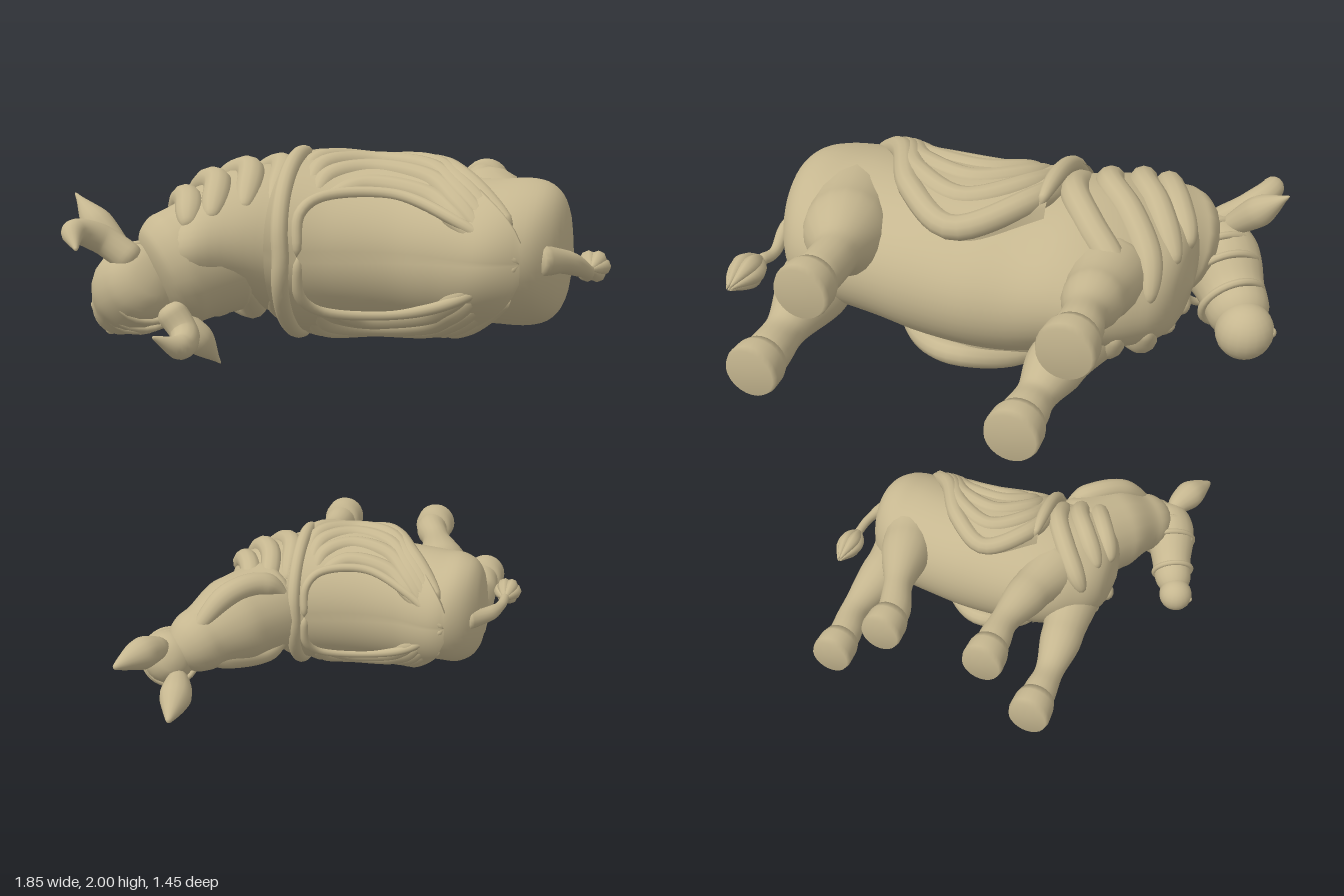
import * as THREE from 'three';
import { mergeVertices } from 'three/addons/utils/BufferGeometryUtils.js';
import { ParametricGeometry } from 'three/addons/geometries/ParametricGeometry.js';

const V = (a) => new THREE.Vector3(a[0], a[1], a[2]);
const wood = new THREE.MeshStandardMaterial({ color: 0xc6b790, side: THREE.DoubleSide });
wood.name = 'carved wood';

function smooth(geo) {
  geo.deleteAttribute('normal');
  geo.deleteAttribute('uv');
  const g = mergeVertices(geo, 1e-4);
  g.computeVertexNormals();
  return g;
}

function add(group, name, geo) {
  const mesh = new THREE.Mesh(geo, wood);
  mesh.name = name;
  group.add(mesh);
  return mesh;
}

// Round tapering sweep through points [x, y, z, radius], rounded at both ends
function limb(pts, cap = 0.1, sides = 14, n = 36) {
  const curve = new THREE.CatmullRomCurve3(pts.map(V), false, 'centripetal');
  const geo = new THREE.TubeGeometry(curve, n, 1, sides, false);
  const pos = geo.attributes.position, nor = geo.attributes.normal;
  for (let i = 0; i <= n; i++) {
    const u = i / n, p = curve.getPointAt(u);
    const t = curve.getUtoTmapping(u) * (pts.length - 1);
    const k = Math.min(Math.floor(t), pts.length - 2), f = t - k;
    const end = Math.min(1, Math.min(u, 1 - u) / cap);
    const r = THREE.MathUtils.lerp(pts[k][3], pts[k + 1][3], f * f * (3 - 2 * f)) * Math.sqrt(1 - (1 - end) ** 2);
    for (let j = 0; j <= sides; j++) {
      const q = i * (sides + 1) + j;
      pos.setXYZ(q, p.x + nor.getX(q) * r, p.y + nor.getY(q) * r, p.z + nor.getZ(q) * r);
    }
  }
  return smooth(geo);
}

// Smooth interpolation of one column of a station table
function column(table, c, x) {
  const n = table.length - 1;
  let i = 0;
  while (i < n - 1 && x > table[i + 1][0]) i++;
  const slope = (k) => {
    const a = table[Math.max(k - 1, 0)], b = table[Math.min(k + 1, n)];
    return (b[c] - a[c]) / (b[0] - a[0]);
  };
  const h = table[i + 1][0] - table[i][0];
  const t = THREE.MathUtils.clamp((x - table[i][0]) / h, 0, 1), s = 1 - t;
  return table[i][c] * s * s * (1 + 2 * t) + table[i + 1][c] * t * t * (3 - 2 * t)
    + h * (slope(i) * t * s * s - slope(i + 1) * t * t * s);
}

// Point on the body skin; angle 0 is the spine, +-PI/2 the flanks
function skinOf(table) {
  return (x, ang, off = 0) => {
    const top = column(table, 1, x), bot = column(table, 2, x);
    const w = column(table, 4, x) * (1 - column(table, 5, x) * Math.max(0, Math.cos(ang)));
    return [x, column(table, 3, x) + Math.sin(ang) * (w + off),
      (top + bot) / 2 + Math.cos(ang) * ((top - bot) / 2 + off)];
  };
}

// Distance of the cloth from the skin, flaring toward the hem
const drape = (ang) => 0.014 + 0.022 * Math.abs(ang);

function animal(name, o) {
  const g = new THREE.Group();
  g.name = name;
  const skin = skinOf(o.body), x0 = o.body[0][0], x1 = o.body[o.body.length - 1][0];
  const mapX = (x) => -0.2 + (x + 0.2) * o.stretch;
  const s = o.size;

  // Trunk
  add(g, 'body', smooth(new ParametricGeometry((u, v, t) => {
    const x = (x0 + x1) / 2 - (x1 - x0) / 2 * Math.cos(Math.PI * u);
    t.set(...skin(x, v * 2 * Math.PI));
  }, 60, 48)));

  // Blanket with an arched hem
  const hem = [[-0.2, -0.4], [0.05, -0.66], [0.27, -0.33], [0.44, 0.3], [0.66, 0.99]];
  add(g, 'blanket', smooth(new ParametricGeometry((u, v, t) => {
    const x = -0.2 + 0.85 * u;
    const ang = (2 * v - 1) * Math.acos(THREE.MathUtils.clamp(column(hem, 1, x), -1, 1));
    const edge = Math.min(1, (1 - Math.abs(2 * v - 1)) * 16);
    t.set(...skin(mapX(x), ang, drape(ang) * s * edge));
  }, 40, 64)));

  const ridge = (part, pts, r, cap = 0.15) =>
    add(g, part, limb(pts.map(([x, a, off]) => [...skin(mapX(x), a, off * s), r * s]), cap, 12, 44));
  const side = (f) => Math.acos(THREE.MathUtils.clamp(f, -1, 1));

  // Collar rim in front of the blanket
  const rim = [];
  for (let i = -8; i <= 8; i++) {
    const a = i / 8 * 1.95;
    rim.push([-0.15 - 0.04 * Math.abs(i) / 8, a, drape(a)]);
  }
  ridge('collarRim', rim, 0.03);

  for (const m of [1, -1]) {
    // Nested broad drapery arches on the flank
    for (let k = 0; k < 5; k++) {
      const arch = [[-0.16 + 0.03 * k, 0.75], [-0.15 + 0.035 * k, -0.25 + 0.24 * k], [0.06 + 0.01 * k, -0.6 + 0.295 * k],
        [0.26 + 0.015 * k, -0.31 + 0.245 * k], [0.43, 0.36 + 0.12 * k], [0.62 - 0.03 * k, 0.86 + 0.02 * k]];
      ridge('blanketFold', arch.map(([x, f]) => [x, m * side(f), drape(side(f)) - 0.022]), 0.042, 0.2);
    }
    // Saddle panel border meeting in a point at the rump
    ridge('saddleBorder', [[-0.1, 0], [-0.1, 0.5], [-0.04, 0.72], [0.2, 0.78], [0.45, 0.5], [0.65, 0]]
      .map(([x, a]) => [x, m * a, drape(a)]), 0.02, 0.06);
    // Diagonal folds over chest and shoulder
    for (const fold of o.folds) {
      ridge('neckFold', fold.map(([x, f]) => [x, m * side(f), -0.01]), 0.05, 0.25);
    }
  }

  // Legs with hooves
  const hoof = [[0, -0.725], [0.92, -0.725], [1, -0.705], [0.97, -0.65], [0.86, -0.62], [0, -0.6]];
  for (const leg of o.legs) {
    const [hx, hy, , hr] = leg[leg.length - 1];
    add(g, 'leg', limb([...leg, [hx, hy, -0.68, hr]], 0.08, 18));
    const geo = new THREE.LatheGeometry(hoof.map(([r, y]) => new THREE.Vector2(r * o.hoof, y)), 24);
    geo.rotateX(Math.PI / 2).translate(hx, hy, 0);
    add(g, 'hoof', geo);
  }

  // Neck, head and muzzle
  add(g, 'neck', limb(o.neck, 0.15, 20));
  add(g, 'head', limb(o.head, 0.18, 20));
  const crown = V(o.head[0]), nose = V(o.head[o.head.length - 1]);
  const axis = nose.clone().sub(crown).normalize();
  const across = new THREE.Vector3(-axis.y, axis.x, 0).normalize();
  const up = new THREE.Vector3().crossVectors(across, axis);
  if (up.z < 0) up.negate();
  const ball = (part, c, r) => add(g, part, new THREE.SphereGeometry(r, 20, 14)).position.copy(c);
  ball('muzzle', nose, o.muzzle);
  for (const m of [1, -1]) {
    ball('nostril', nose.clone().addScaledVector(across, m * o.muzzle * 0.5).addScaledVector(up, o.muzzle * 0.6)
      .addScaledVector(axis, o.muzzle * 0.4), o.muzzle * 0.2);
    ball('eye', crown.clone().lerp(nose, 0.45).addScaledVector(across, m * o.head[1][3] * 0.82)
      .addScaledVector(up, o.head[1][3] * 0.4), o.muzzle * 0.2);
  }

  // Halter bands
  for (const [t, r] of o.bands) {
    const band = add(g, 'halterBand', new THREE.TorusGeometry(r, 0.014 * s, 8, 32));
    band.position.lerpVectors(crown, nose, t);
    band.quaternion.setFromUnitVectors(new THREE.Vector3(0, 0, 1), axis);
  }

  for (const e of o.ears) add(g, 'ear', limb(e, 0.2));
  for (const h of o.horns) add(g, 'horn', limb(h, 0.12));
  for (const l of o.locks) add(g, 'maneLock', limb(l, 0.25));

  // Tail with a stranded tuft
  add(g, 'tail', limb(o.tail, 0.06));
  const [tx, ty, tz] = o.tail[o.tail.length - 1];
  for (let i = 0; i < 6; i++) {
    const a = i * Math.PI / 3, c = Math.cos(a) * 0.035 * s, d = Math.sin(a) * 0.03 * s;
    add(g, 'tailTuft', limb([[tx, ty, tz + 0.03, 0.015 * s], [tx + c, ty + d, tz - 0.07 * s, 0.032 * s],
      [tx + c * 0.2, ty + d * 0.2, tz - 0.2 * s, 0.006]], 0.2, 8, 16));
  }
  return g;
}

// Body stations: x, back z, belly z, centre y, half width, narrowing of the upper side
const ox = {
  size: 1, stretch: 1, hoof: 0.094, muzzle: 0.102,
  body: [[-0.66, 0.06, 0.06, 1.64, 0, 0], [-0.63, 0.26, -0.13, 1.64, 0.13, 0], [-0.55, 0.48, -0.25, 1.65, 0.2, 0.15],
    [-0.43, 0.55, -0.34, 1.67, 0.24, 0.2], [-0.3, 0.48, -0.37, 1.675, 0.26, 0.15], [-0.15, 0.385, -0.385, 1.65, 0.27, 0.02],
    [0, 0.325, -0.4, 1.645, 0.268, 0.02], [0.2, 0.295, -0.385, 1.645, 0.264, 0.02], [0.35, 0.33, -0.36, 1.645, 0.255, 0.03],
    [0.52, 0.4, -0.34, 1.645, 0.25, 0.08], [0.66, 0.35, -0.3, 1.645, 0.253, 0.08], [0.74, 0.25, -0.2, 1.645, 0.215, 0],
    [0.78, 0.13, -0.08, 1.645, 0.13, 0], [0.795, 0.02, 0.02, 1.645, 0, 0]],
  folds: [[[-0.5, -0.97], [-0.46, -0.75], [-0.35, -0.45], [-0.25, -0.05], [-0.2, 0.8]],
    [[-0.58, -0.96], [-0.54, -0.6], [-0.44, -0.22], [-0.34, 0.12], [-0.28, 0.82]],
    [[-0.62, -0.5], [-0.5, 0.02], [-0.42, 0.32], [-0.37, 0.87]], [[-0.63, 0.1], [-0.54, 0.35], [-0.48, 0.6], [-0.44, 0.9]]],
  legs: [
    [[-0.42, 1.73, -0.1, 0.14], [-0.445, 1.79, -0.36, 0.1], [-0.46, 1.82, -0.5, 0.067], [-0.475, 1.83, -0.6, 0.077]],
    [[-0.38, 1.56, -0.1, 0.14], [-0.33, 1.51, -0.36, 0.1], [-0.31, 1.47, -0.5, 0.067], [-0.31, 1.47, -0.6, 0.077]],
    [[0.56, 1.71, 0.08, 0.17], [0.46, 1.77, -0.24, 0.15], [0.39, 1.82, -0.47, 0.075], [0.38, 1.83, -0.6, 0.077]],
    [[0.6, 1.58, 0.08, 0.17], [0.6, 1.53, -0.24, 0.13], [0.61, 1.47, -0.48, 0.07], [0.6, 1.47, -0.6, 0.077]]],
  neck: [[-0.38, 1.66, 0.25, 0.22], [-0.52, 1.6, 0.38, 0.2], [-0.6, 1.56, 0.44, 0.15]],
  head: [[-0.55, 1.59, 0.53, 0.12], [-0.67, 1.53, 0.42, 0.145], [-0.76, 1.46, 0.3, 0.115], [-0.83, 1.42, 0.18, 0.1]],
  bands: [[0.2, 0.135], [0.36, 0.145], [0.52, 0.137], [0.74, 0.112]],
  ears: [[[-0.65, 1.62, 0.47, 0.035], [-0.78, 1.74, 0.44, 0.055], [-0.89, 1.85, 0.39, 0.01]],
    [[-0.54, 1.48, 0.47, 0.035], [-0.44, 1.37, 0.44, 0.055], [-0.375, 1.27, 0.38, 0.01]]],
  horns: [[[-0.62, 1.62, 0.5, 0.055], [-0.74, 1.71, 0.53, 0.05], [-0.79, 1.74, 0.62, 0.042], [-0.74, 1.69, 0.72, 0.01]],
    [[-0.52, 1.49, 0.51, 0.055], [-0.45, 1.4, 0.53, 0.05], [-0.43, 1.37, 0.62, 0.042], [-0.49, 1.42, 0.72, 0.01]]],
  locks: [],
  tail: [[0.68, 1.65, 0.28, 0.06], [0.78, 1.63, 0.15, 0.04], [0.84, 1.58, 0, 0.026], [0.82, 1.55, -0.15, 0.02], [0.84, 1.56, -0.23, 0.022]],
};

const donkey = {
  size: 0.8, stretch: 0.7, hoof: 0.078, muzzle: 0.066,
  body: [[-0.49, -0.02, -0.02, 0.28, 0, 0], [-0.46, 0.12, -0.15, 0.28, 0.11, 0], [-0.38, 0.26, -0.24, 0.285, 0.18, 0.15],
    [-0.28, 0.27, -0.3, 0.285, 0.205, 0.12], [-0.15, 0.21, -0.32, 0.285, 0.212, 0.02], [0.05, 0.16, -0.32, 0.285, 0.218, 0.02],
    [0.2, 0.16, -0.305, 0.285, 0.21, 0.02], [0.35, 0.2, -0.28, 0.285, 0.205, 0.05], [0.44, 0.16, -0.23, 0.285, 0.2, 0],
    [0.5, 0.07, -0.15, 0.285, 0.14, 0], [0.525, -0.04, -0.04, 0.285, 0, 0]],
  folds: [[[-0.5, -0.95], [-0.44, -0.75], [-0.34, -0.35], [-0.25, 0.1], [-0.21, 0.8]],
    [[-0.54, -0.6], [-0.42, -0.1], [-0.34, 0.3], [-0.3, 0.85]],
    [[-0.58, -0.2], [-0.5, 0.2], [-0.43, 0.5], [-0.38, 0.9]]],
  legs: [
    [[-0.28, 0.36, -0.1, 0.11], [-0.23, 0.38, -0.32, 0.08], [-0.2, 0.39, -0.5, 0.053], [-0.2, 0.39, -0.6, 0.062]],
    [[-0.34, 0.22, -0.1, 0.11], [-0.37, 0.2, -0.32, 0.08], [-0.38, 0.18, -0.5, 0.053], [-0.38, 0.18, -0.6, 0.062]],
    [[0.36, 0.34, -0.02, 0.13], [0.31, 0.36, -0.24, 0.1], [0.24, 0.39, -0.48, 0.055], [0.2, 0.39, -0.6, 0.062]],
    [[0.39, 0.23, -0.02, 0.13], [0.41, 0.2, -0.24, 0.095], [0.44, 0.18, -0.48, 0.055], [0.42, 0.18, -0.6, 0.062]]],
  neck: [[-0.26, 0.285, 0.08, 0.18], [-0.38, 0.27, 0.25, 0.165], [-0.48, 0.23, 0.38, 0.12], [-0.55, 0.19, 0.48, 0.08]],
  head: [[-0.53, 0.21, 0.53, 0.08], [-0.59, 0.17, 0.42, 0.1], [-0.64, 0.11, 0.29, 0.078], [-0.69, 0.07, 0.18, 0.065]],
  bands: [[0.25, 0.094], [0.42, 0.1], [0.74, 0.076]],
  ears: [[[-0.57, 0.24, 0.48, 0.035], [-0.62, 0.25, 0.59, 0.058], [-0.68, 0.24, 0.715, 0.018]],
    [[-0.53, 0.14, 0.48, 0.035], [-0.5, 0.1, 0.59, 0.058], [-0.48, 0.06, 0.72, 0.018]]],
  horns: [],
  // Mane locks sweeping from the crown over each side of the neck
  locks: [1, -1].flatMap((m) => [0, 1].map((k) => [[-0.5, 0.23 + m * 0.02, 0.47, 0.025],
    [-0.38 + 0.04 * k, 0.28 + m * (0.12 - 0.08 * k), 0.35 - 0.02 * k, 0.045],
    [-0.27, 0.285 + m * (0.13 - 0.08 * k), 0.25, 0.045], [-0.17, 0.285 + m * (0.06 - 0.04 * k), 0.21, 0.015]])),
  tail: [[0.45, 0.285, 0.1, 0.04], [0.53, 0.285, 0.02, 0.028], [0.565, 0.285, -0.08, 0.018], [0.57, 0.285, -0.18, 0.017]],
};

export function createModel() {
  const model = new THREE.Group();
  model.name = 'carvedAnimals';
  model.add(animal('ox', ox), animal('donkey', donkey));
  return model;
}
